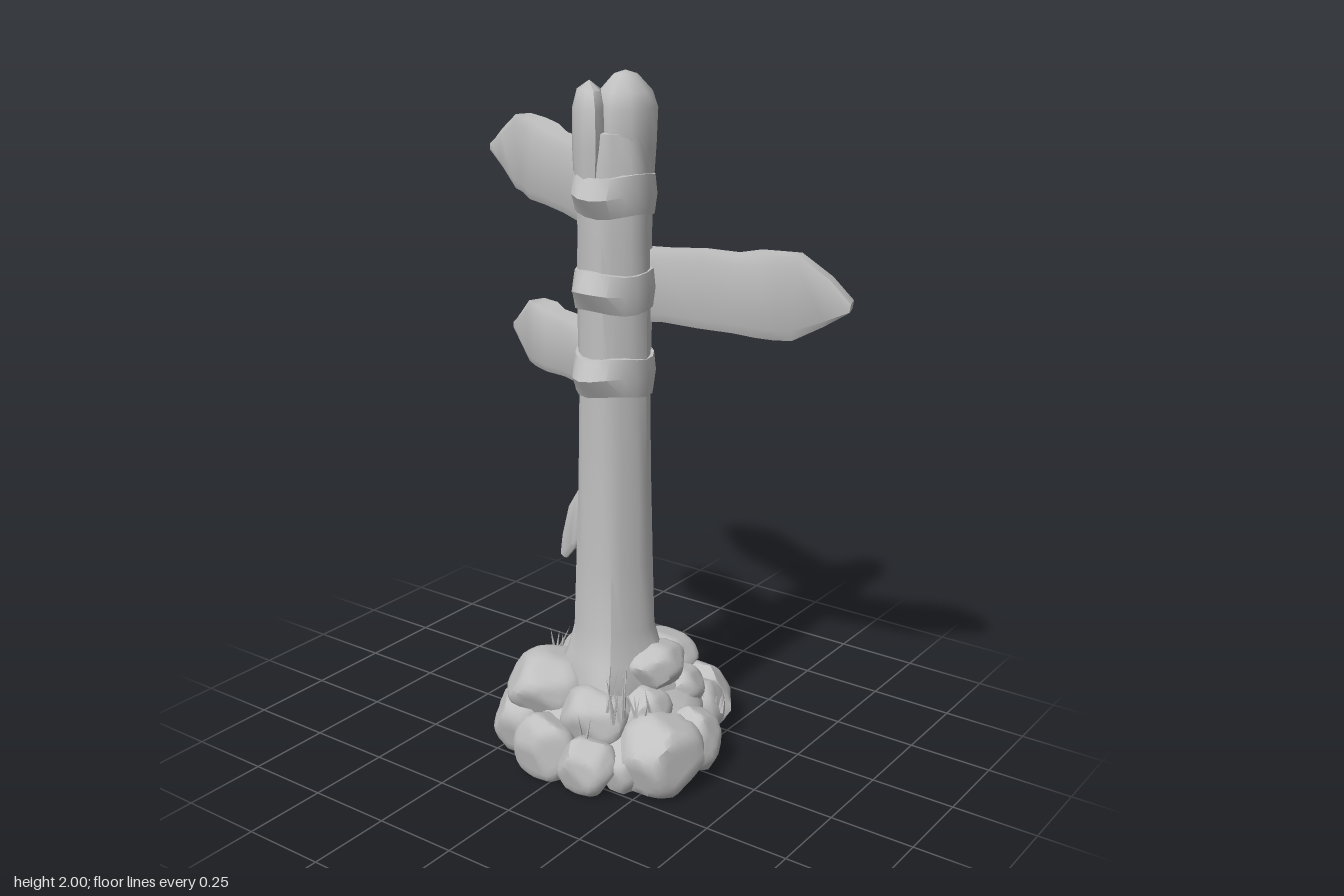
import * as THREE from 'three';
import { toCreasedNormals } from 'three/addons/utils/BufferGeometryUtils.js';

const grey = new THREE.MeshStandardMaterial({ color: 0xc0c0c0 });
grey.name = 'plain grey';

let seed = 11;
const rnd = () => (seed = (seed * 16807) % 2147483647) / 2147483647;

function add(parent, name, geometry, crease = 0.7) {
  const mesh = new THREE.Mesh(toCreasedNormals(geometry, crease), grey);
  mesh.name = name;
  parent.add(mesh);
  return mesh;
}

// Move every vertex of a geometry by a rule
function shape(geo, rule) {
  const p = geo.attributes.position, v = new THREE.Vector3();
  for (let i = 0; i < p.count; i++) {
    rule(v.fromBufferAttribute(p, i));
    p.setXYZ(i, v.x, v.y, v.z);
  }
  return geo;
}

// Bevelled beam swept through stations [x, y, z, half size along ref, half thickness]
function beam(stations, ref, k = 0.7) {
  const pts = stations.map(s => new THREE.Vector3(s[0], s[1], s[2]));
  const n = 8, pos = [], idx = [];
  const section = [[1, -k], [1, k], [k, 1], [-k, 1], [-1, k], [-1, -k], [-k, -1], [k, -1]];
  stations.forEach((s, i) => {
    const t = pts[Math.min(i + 1, pts.length - 1)].clone().sub(pts[Math.max(i - 1, 0)]).normalize();
    const u = ref.clone().addScaledVector(t, -ref.dot(t)).normalize();
    const v = t.clone().cross(u);
    for (const [a, b] of section) {
      const q = pts[i].clone().addScaledVector(u, a * s[3]).addScaledVector(v, b * s[4]);
      pos.push(q.x, q.y, q.z);
    }
  });
  for (let i = 0; i < pts.length - 1; i++) for (let j = 0; j < n; j++) {
    const a = i * n + j, b = i * n + (j + 1) % n;
    idx.push(a, b, b + n, a, b + n, a + n);
  }
  const e = (pts.length - 1) * n;
  for (let j = 1; j < n - 1; j++) idx.push(0, j + 1, j, e, e + j, e + j + 1);
  const g = new THREE.BufferGeometry();
  g.setAttribute('position', new THREE.Float32BufferAttribute(pos, 3));
  g.setIndex(idx);
  return g;
}

// Boulder: a ball cut by random planes, flattened at the ground
function boulder(x, y, z, rx, ry, rz) {
  const planes = [];
  for (let i = 0; i < 15; i++) {
    const c = 1 - 2 * (i + 0.5) / 15, a = i * 2.4 + rnd(), s = Math.sqrt(1 - c * c);
    planes.push([new THREE.Vector3(s * Math.cos(a), c, s * Math.sin(a)), 0.84 + rnd() * 0.14]);
  }
  return shape(new THREE.IcosahedronGeometry(1, 5), v => {
    v.normalize();
    let r = 1.06;
    for (const [n, d] of planes) {
      const k = n.dot(v);
      if (k > 0.1) r = Math.min(r, d / k);
    }
    v.set(x + v.x * r * rx, Math.max(0, y + v.y * r * ry), z + v.z * r * rz);
  });
}

const lathe = (profile, sides) =>
  new THREE.LatheGeometry(profile.map(p => new THREE.Vector2(p[0], p[1])), sides);

function createModel() {
  const model = new THREE.Group();
  model.name = 'signpost';
  const Y = new THREE.Vector3(0, 1, 0), Z = new THREE.Vector3(0, 0, 1);

  // Weathered trunk with flared roots
  const trunk = lathe([[0, 0.1], [0.17, 0.1], [0.165, 0.24], [0.135, 0.31], [0.116, 0.4], [0.109, 0.6],
    [0.103, 0.85], [0.101, 1.1], [0.103, 1.4], [0.1, 1.55], [0.102, 1.75], [0.09, 1.84], [0, 1.86]], 24);
  add(model, 'trunk', shape(trunk, v => {
    const a = Math.atan2(v.x, v.z), root = Math.max(0, 0.4 - v.y);
    const k = 1 + 0.035 * Math.sin(a * 5 + v.y * 1.5) + 0.025 * Math.sin(a * 9 - v.y * 4) + root * Math.sin(a * 4) * 0.6;
    v.x = v.x * k + 0.003;
    v.z = v.z * k + 0.005;
  }));

  // Split top: a tall rounded half and a broad, lower splinter behind it
  const crown = lathe([[0, 1.7], [0.085, 1.7], [0.092, 1.8], [0.096, 1.9], [0.08, 1.945], [0.035, 1.99], [0, 2]], 9);
  add(model, 'crown', shape(crown, v => { v.x += 0.018; v.z = v.z * 0.88 + 0.026; }), 0.9);
  const splinter = lathe([[0, 1.68], [0.042, 1.68], [0.047, 1.8], [0.046, 1.9], [0.033, 1.95], [0, 1.975]], 9);
  add(model, 'topSplinter', shape(splinter, v => {
    const along = (v.z - v.x) * 0.4;
    v.x -= 0.05 + along;
    v.z += along - 0.044;
  }), 0.9);

  // Straps around the trunk, bulging to a ridge on the right
  for (const y of [1.675, 1.41, 1.17]) {
    const band = lathe([[0.09, -0.056], [0.11, -0.054], [0.117, 0], [0.111, 0.054], [0.09, 0.056]], 18);
    add(model, 'strap', shape(band, v => {
      const a = Math.atan2(v.x, v.z), ridge = Math.max(0, -v.x / 0.117 - 0.6) * Math.max(0, 1 - Math.abs(v.y) / 0.054);
      v.x -= ridge * 0.07;
      v.y += y + 0.006 * Math.sin(a * 3 + y * 9);
      v.z += 0.004;
    }));
  }

  // Arrow boards: rows of [distance along z, bottom, top, half thickness]
  function board(name, side, rows) {
    const rings = rows.map(([d, lo, hi, t]) => {
      const x = d < 0.37 ? 0.047 + 0.115 * d / 0.37 : 0.162 + 0.09 * (d - 0.37) / 0.25;
      return [x, (lo + hi) / 2, side * d, (hi - lo) / 2, t];
    });
    add(model, name, beam(rings, Y, 0.75), 0.8);
  }
  board('topBoard', -1, [[0.03, 1.56, 1.75, 0.042], [0.12, 1.555, 1.765, 0.042], [0.22, 1.575, 1.785, 0.042],
    [0.31, 1.585, 1.795, 0.041], [0.37, 1.59, 1.815, 0.049], [0.42, 1.605, 1.825, 0.042], [0.48, 1.61, 1.83, 0.034],
    [0.55, 1.66, 1.78, 0.034], [0.615, 1.705, 1.73, 0.031]]);
  board('middleBoard', 1, [[0, 1.31, 1.515, 0.038], [0.12, 1.315, 1.515, 0.038], [0.22, 1.305, 1.52, 0.036],
    [0.31, 1.3, 1.515, 0.037], [0.37, 1.295, 1.525, 0.049], [0.42, 1.29, 1.525, 0.042], [0.47, 1.29, 1.525, 0.034],
    [0.55, 1.335, 1.465, 0.034], [0.61, 1.378, 1.404, 0.031]]);
  board('lowerBoard', -1, [[0.03, 1.09, 1.235, 0.04], [0.14, 1.08, 1.25, 0.04], [0.24, 1.085, 1.265, 0.038],
    [0.32, 1.08, 1.265, 0.042], [0.37, 1.085, 1.28, 0.045], [0.42, 1.09, 1.28, 0.036], [0.505, 1.173, 1.197, 0.029]]);

  // Hanging rope loop on a peg, with a knot and cloth strips
  const charm = new THREE.Group();
  charm.name = 'hangingCharm';
  model.add(charm);
  add(charm, 'peg', beam([[0.05, 1.05, -0.065, 0.03, 0.028], [0.125, 1.055, -0.065, 0.025, 0.024],
    [0.15, 1.05, -0.065, 0.014, 0.014]], Y));
  const loop = new THREE.TorusGeometry(0.077, 0.019, 7, 22);
  add(charm, 'ropeLoop', shape(loop, v => {
    v.set(0.128 + v.z + v.x * 0.1 - v.y * 0.12, 0.965 + v.y * 1.02, -0.093 - v.x);
  }), 1.2);
  add(charm, 'ropeKnot', boulder(0.138, 0.9, -0.14, 0.04, 0.055, 0.05));
  const strips = [[0.165, 0.64, -0.105, 0.018], [0.132, 0.445, -0.185, 0.034], [0.145, 0.485, -0.295, 0.032],
    [0.21, 0.575, -0.225, 0.032], [0.125, 0.54, -0.24, 0.026]];
  for (const [x, y, z, w] of strips) {
    const at = (k, bow, width, thick) =>
      [0.138 + (x - 0.138) * k + bow * 0.5, 0.89 + (y - 0.89) * k, -0.135 + (z + 0.135) * k + bow, width, thick];
    add(charm, 'clothStrip', beam([at(0, 0, 0.014, 0.012), at(0.3, 0.006, w * 0.65, 0.017), at(0.6, -0.004, w, 0.02),
      at(0.85, 0.004, w * 0.95, 0.017), at(1, 0, w * 0.4, 0.009)], Z, 0.5));
  }

  // Rock pile: [x, y, z, radii]
  const rocks = [
    [0, 0.07, 0, 0.27, 0.2, 0.27],
    [-0.125, 0.09, 0.255, 0.13, 0.12, 0.125], [0.03, 0.08, 0.275, 0.08, 0.1, 0.085],
    [0.19, 0.08, 0.165, 0.11, 0.11, 0.095], [0.265, 0.085, 0.13, 0.08, 0.11, 0.12],
    [0.255, 0.09, -0.02, 0.085, 0.12, 0.11], [0.215, 0.08, -0.145, 0.085, 0.11, 0.09],
    [0.1, 0.07, -0.23, 0.08, 0.1, 0.08], [0.01, 0.1, -0.245, 0.11, 0.13, 0.1],
    [-0.175, 0.09, -0.19, 0.1, 0.11, 0.1], [-0.27, 0.08, -0.045, 0.075, 0.11, 0.1],
    [-0.265, 0.07, 0.1, 0.08, 0.09, 0.09], [-0.185, 0.06, 0.18, 0.08, 0.09, 0.08],
    [-0.11, 0.2, -0.14, 0.15, 0.1, 0.13], [-0.165, 0.17, 0.06, 0.095, 0.09, 0.11],
    [0.03, 0.28, 0.13, 0.105, 0.07, 0.085], [0.2, 0.22, 0.03, 0.1, 0.075, 0.12],
    [0.1, 0.2, -0.15, 0.1, 0.08, 0.1], [-0.06, 0.17, 0.16, 0.09, 0.075, 0.08],
    [0.12, 0.18, 0.15, 0.085, 0.065, 0.08]];
  for (const r of rocks) add(model, 'rock', boulder(...r), 0.8);

  // Grass tufts: [x, y, z, blade height, blades]
  const tufts = [[-0.2, 0.2, 0.15, 0.2, 8], [-0.13, 0.18, 0.21, 0.1, 7], [-0.24, 0.14, 0.08, 0.1, 4],
    [0.19, 0.18, -0.16, 0.11, 8], [0.05, 0.2, -0.24, 0.1, 5], [0.16, 0.1, 0.25, 0.07, 5]];
  for (const [x, y, z, h, count] of tufts) {
    for (let i = 0; i < count; i++) {
      const tall = h * (0.6 + rnd() * 0.45), blade = new THREE.ConeGeometry(0.006, tall, 4);
      blade.translate(0, tall / 2, 0);
      const mesh = add(model, 'grassBlade', blade);
      mesh.position.set(x + (rnd() - 0.5) * 0.06, y, z + (rnd() - 0.5) * 0.06);
      mesh.rotation.set((rnd() - 0.5) * 0.6, rnd() * 3, (rnd() - 0.5) * 0.6);
    }
  }
  return model;
}

export { createModel };
